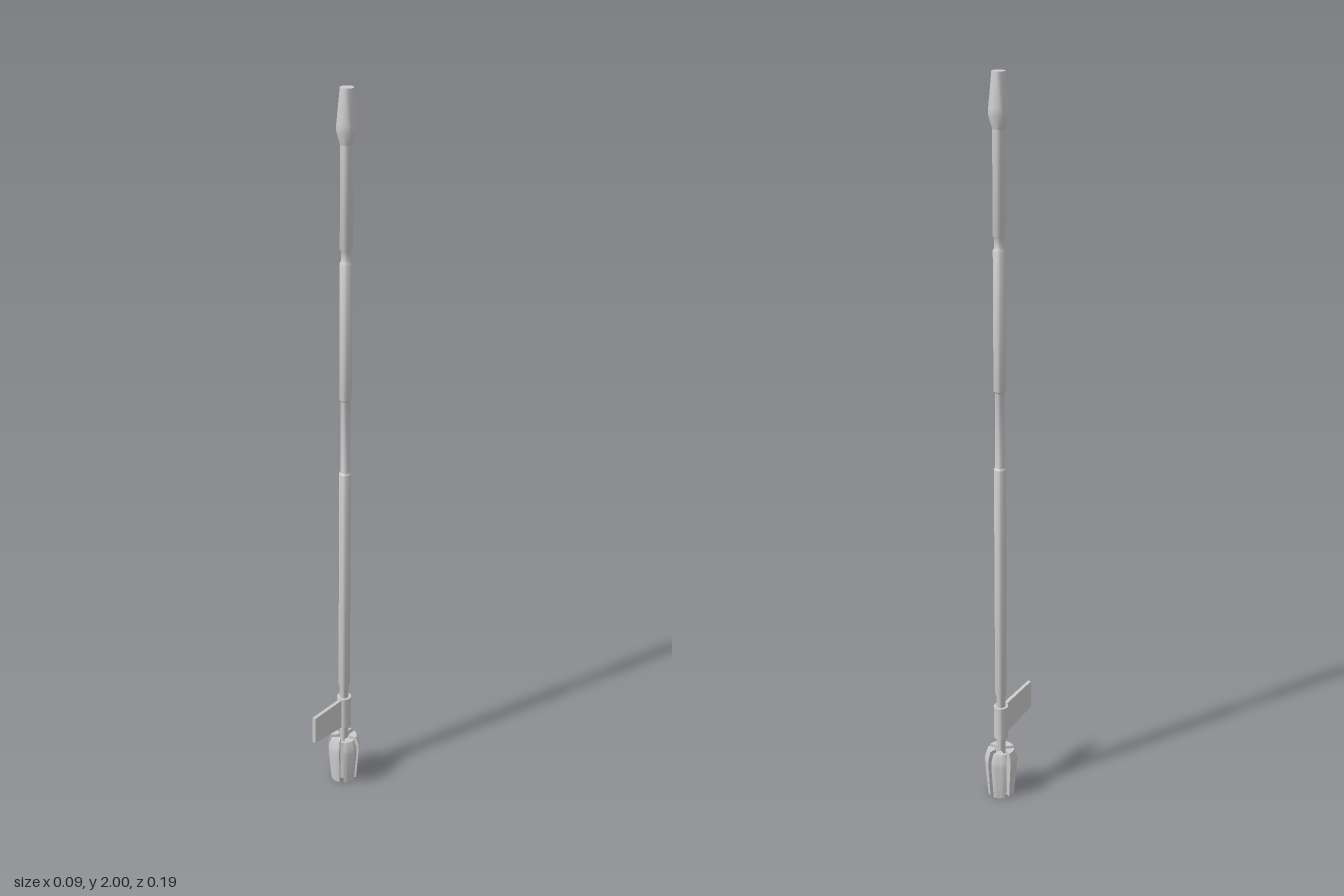
import * as THREE from 'three';
import { toCreasedNormals } from 'three/addons/utils/BufferGeometryUtils.js';

const material = new THREE.MeshStandardMaterial({ color: 0xcccccc });
const rad = THREE.MathUtils.degToRad;

function part(name, geometry) {
  const mesh = new THREE.Mesh(geometry, material);
  mesh.name = name;
  return mesh;
}

function turned(name, profile) {
  const points = profile.map(([r, y]) => new THREE.Vector2(r, y));
  return part(name, toCreasedNormals(new THREE.LatheGeometry(points, 24), rad(35)));
}

// One arc-shaped grip lobe, swept around the axis between two parallel-sided slots
function lobeGeometry(profile, count, slotWidth, steps) {
  const n = profile.length;
  const positions = [];
  const index = [];
  for (let i = 0; i <= steps; i++) {
    for (const [r, y] of profile) {
      const half = Math.PI / count - Math.asin(slotWidth / 2 / r);
      const phi = half * (2 * i / steps - 1);
      positions.push(r * Math.sin(phi), y, r * Math.cos(phi));
    }
  }
  for (let i = 0; i < steps; i++) {
    for (let j = 0; j < n; j++) {
      const k = (j + 1) % n;
      const a = i * n + j, b = (i + 1) * n + j, c = (i + 1) * n + k, d = i * n + k;
      index.push(a, b, c, a, c, d);
    }
  }
  // Slot walls
  const contour = profile.map(([r, y]) => new THREE.Vector2(r, y));
  const end = steps * n;
  for (const [a, b, c] of THREE.ShapeUtils.triangulateShape(contour, [])) {
    index.push(a, b, c, end + a, end + c, end + b);
  }
  const geometry = new THREE.BufferGeometry();
  geometry.setAttribute('position', new THREE.Float32BufferAttribute(positions, 3));
  geometry.setIndex(index);
  return toCreasedNormals(geometry, rad(30));
}

export function createModel() {
  const model = new THREE.Group();
  model.name = 'shaftTool';
  const body = new THREE.Group();
  body.name = 'body';
  body.position.set(-0.001, 0, -0.047);
  model.add(body);

  // Long stepped rod with two recessed necks
  const R = 0.016, N = 0.0125;
  body.add(turned('shaft', [
    [0, 0.01], [N, 0.01], [N, 0.31], [R, 0.325], [R, 0.99], [N, 0.995],
    [N, 1.2], [R, 1.205], [R, 1.57], [N, 1.576], [N, 1.6], [R, 1.606],
    [R, 1.88], [0, 1.88],
  ]));

  // Tapered tip
  body.add(turned('tip', [
    [0, 1.865], [R, 1.865], [0.026, 1.9], [0.025, 1.915], [0.017, 2], [0, 2],
  ]));

  // Collar carrying the fin
  body.add(turned('collar', [[0, 0.182], [0.02, 0.182], [0.02, 0.28], [0, 0.28]]));

  // Flat side fin
  const outline = new THREE.Shape([
    [0.01, 0.182], [0.145, 0.206], [0.145, 0.288], [0.01, 0.276],
  ].map(([x, y]) => new THREE.Vector2(x, y)));
  const finGeometry = new THREE.ExtrudeGeometry(outline, { depth: 0.01, bevelEnabled: false });
  finGeometry.translate(0, 0, -0.005);
  const fin = part('fin', finGeometry);
  fin.rotation.y = rad(17.5 - 90);
  body.add(fin);

  // Slotted foot: a core with five lobes around it
  body.add(turned('footCore', [[0, 0.004], [0.021, 0.004], [0.021, 0.13], [0, 0.13]]));
  const lobe = lobeGeometry([
    [0.016, 0], [0.037, 0], [0.0455, 0.105], [0.0445, 0.12], [0.037, 0.143], [0.016, 0.143],
  ], 5, 0.012, 6);
  for (let i = 0; i < 5; i++) {
    const mesh = part('footLobe' + (i + 1), lobe);
    mesh.rotation.y = rad(7 + i * 72);
    body.add(mesh);
  }
  return model;
}
